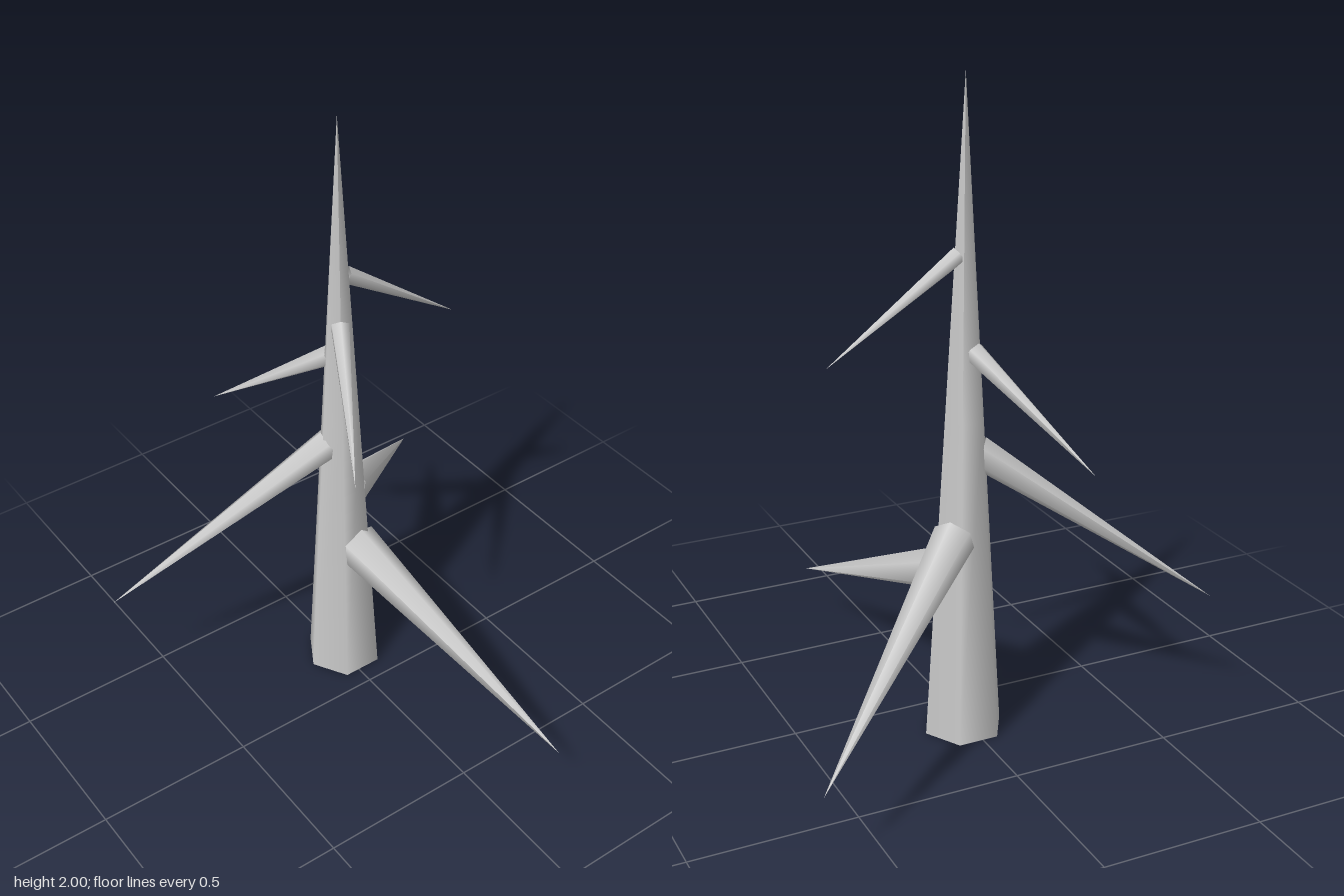
import * as THREE from 'three';

const SIDES = 6;
const material = new THREE.MeshStandardMaterial({ color: 0xcccccc, side: THREE.DoubleSide });

// Open six-sided spike running from the centre of its base ring to its tip
function branch(name, base, tip, radius) {
  const from = new THREE.Vector3(...base);
  const to = new THREE.Vector3(...tip);
  const length = from.distanceTo(to);
  const geometry = new THREE.ConeGeometry(radius, length, SIDES, 1, true);
  geometry.translate(0, length / 2, 0).rotateX(Math.PI / 2);
  const mesh = new THREE.Mesh(geometry, material);
  mesh.name = name;
  mesh.position.copy(from);
  mesh.lookAt(to);
  return mesh;
}

export function createModel() {
  const tree = new THREE.Group();
  tree.name = 'bareTree';

  // Tall tapering trunk, open underneath, with a corner facing the front
  const trunk = new THREE.Mesh(new THREE.ConeGeometry(0.125, 2, SIDES, 2, true), material);
  trunk.name = 'trunk';
  trunk.position.set(-0.17, 1, -0.015);
  tree.add(trunk);

  // Drooping branches, from the lowest to the highest
  tree.add(
    branch('lowLeftBranch', [-0.12, 0.51, -0.03], [0.73, 0.18, -0.18], 0.072),
    branch('lowBackBranch', [-0.21, 0.655, -0.065], [-0.73, 0.245, -0.69], 0.065),
    branch('middleFrontBranch', [-0.18, 0.9, 0.02], [-0.43, 0.405, 0.69], 0.05),
    branch('upperRightBranch', [-0.195, 1.21, 0], [-0.56, 0.925, 0.2], 0.033),
    branch('upperLeftBranch', [-0.145, 1.34, 0], [0.205, 1.06, 0.2], 0.03),
    branch('topBackBranch', [-0.17, 1.49, -0.035], [-0.17, 1.21, -0.44], 0.027),
  );
  return tree;
}
